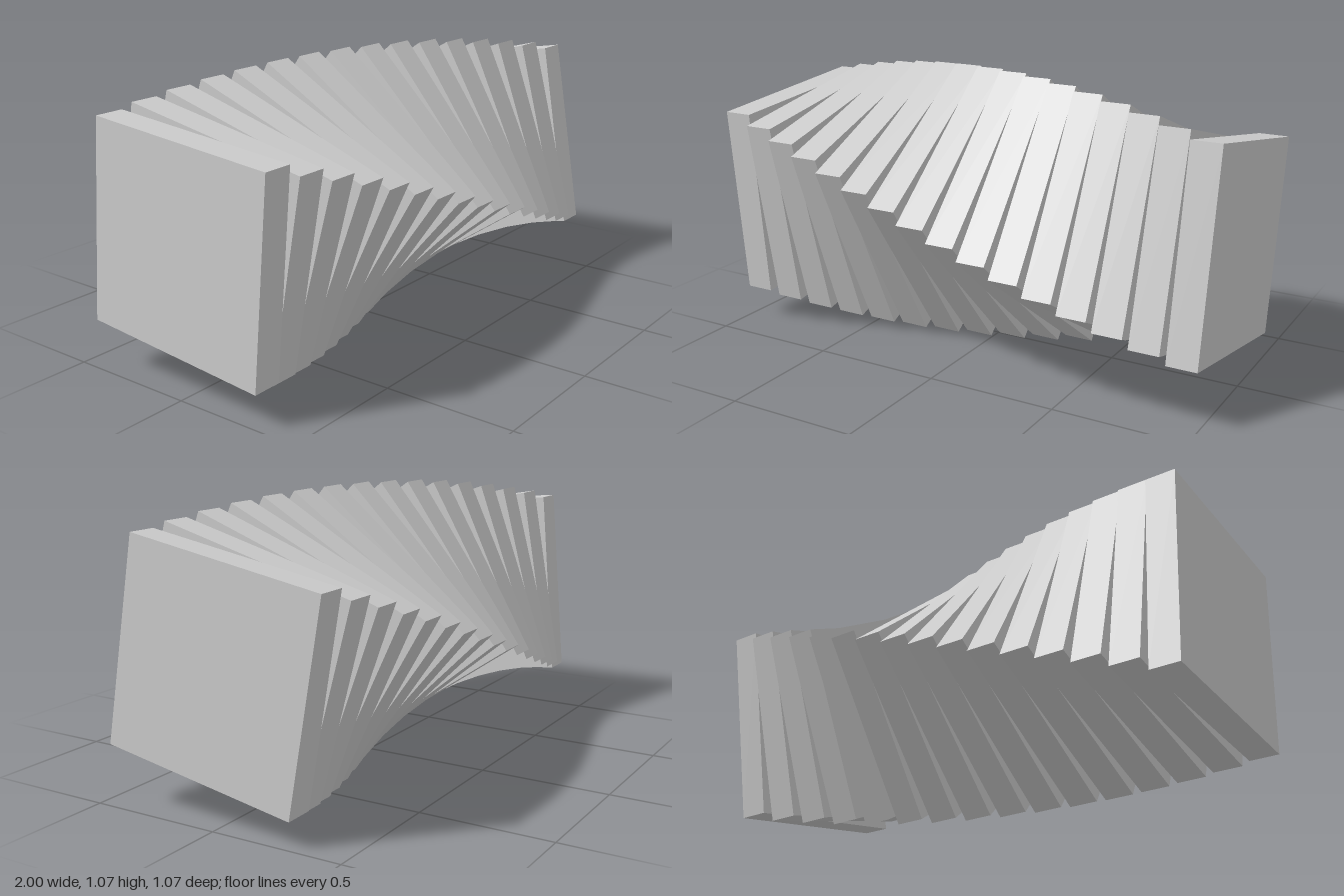
import * as THREE from 'three';

export function createModel() {
  const model = new THREE.Group();
  model.name = 'twistedSlabStack';

  const count = 16;
  const pitch = 2 / (count - 1 + 0.9);  // spacing along x
  const thickness = pitch * 0.9;        // leaves a narrow gap between slabs
  const side = pitch * 6;
  const centreY = side * Math.SQRT1_2;  // half diagonal: the lowest corner touches y = 0

  const geometry = new THREE.BoxGeometry(thickness, side, side);
  const material = new THREE.MeshStandardMaterial({ color: 0xcccccc, flatShading: true });

  // Square slabs in a row, each turned five degrees further about the x axis
  for (let i = 0; i < count; i++) {
    const slab = new THREE.Mesh(geometry, material);
    slab.name = `slab${i + 1}`;
    slab.position.set((i - (count - 1) / 2) * pitch, centreY, 0);
    slab.rotation.x = THREE.MathUtils.degToRad(5 * (i + 1));
    model.add(slab);
  }
  return model;
}
